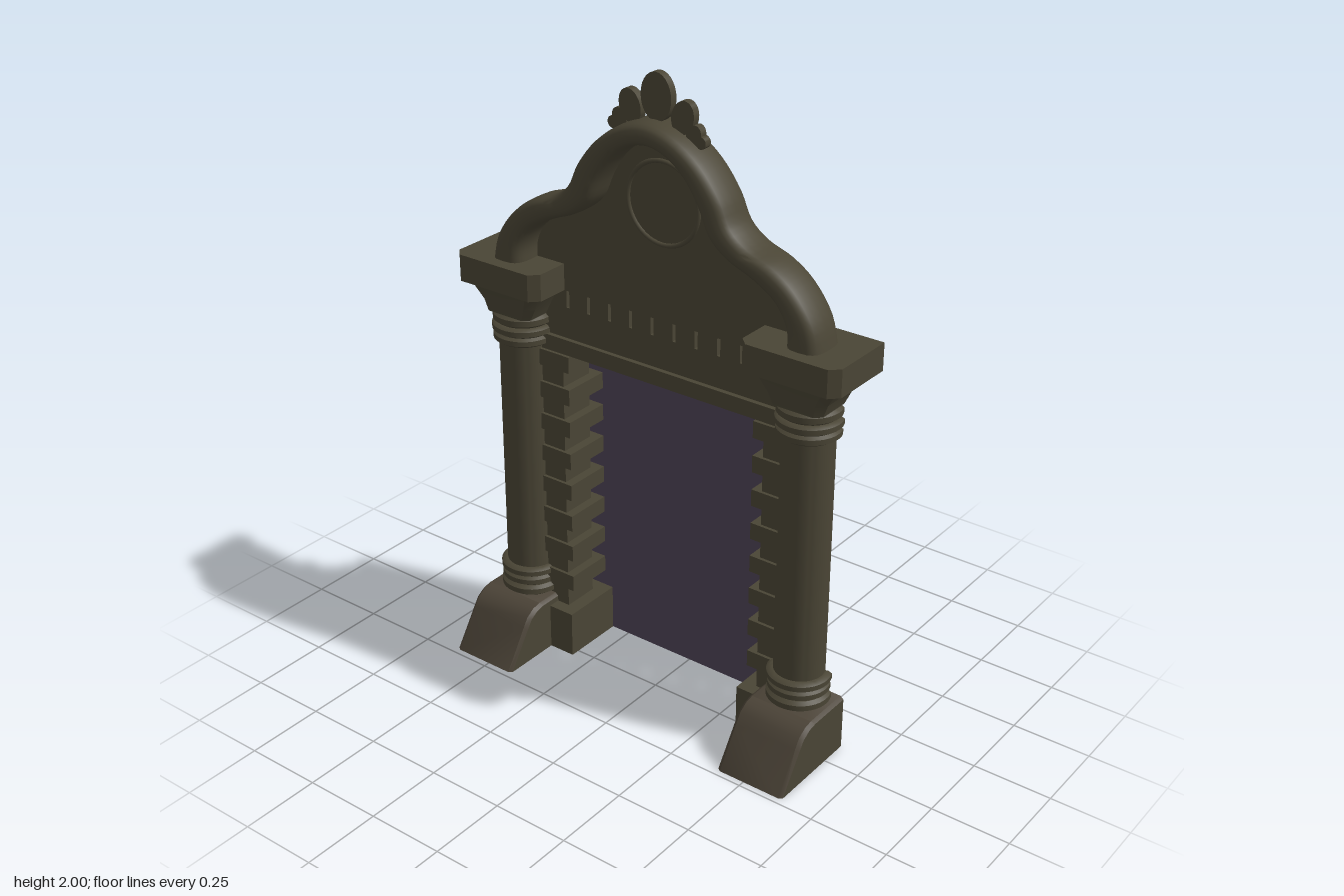
import * as THREE from 'three';
import { toCreasedNormals } from 'three/addons/utils/BufferGeometryUtils.js';

export function createModel() {
  const model = new THREE.Group();
  model.name = 'archedGateway';
  const material = (name, color, side) => {
    const m = new THREE.MeshStandardMaterial({ color, side });
    m.name = name;
    return m;
  };
  const stone = material('stone', 0x4a4535, THREE.DoubleSide);
  const warmStone = material('warmStone', 0x4b4337, THREE.DoubleSide);
  const violet = material('violetDoor', 0x4e4356, THREE.FrontSide);

  const add = (parent, name, geo, mat = stone) => {
    const m = new THREE.Mesh(geo, mat);
    m.name = name;
    parent.add(m);
    return m;
  };
  // Box given by its limits; faces lists which sides to keep (+x -x +y -y +z -z = 0..5)
  const block = (parent, name, x0, x1, y0, y1, z0, z1, faces = [0, 1, 2, 3, 4, 5], mat = stone) => {
    const geo = new THREE.BoxGeometry(x1 - x0, y1 - y0, z1 - z0);
    const index = Array.from(geo.index.array);
    geo.setIndex(faces.flatMap(f => index.slice(f * 6, f * 6 + 6)));
    geo.clearGroups();
    add(parent, name, geo, mat).position.set((x0 + x1) / 2, (y0 + y1) / 2, (z0 + z1) / 2);
  };
  // Surface through equal-length loops of [x, y, z]
  const loft = (loops, closed) => {
    const n = loops[0].length, idx = [];
    for (let i = 0; i < loops.length - 1; i++)
      for (let j = 0; j < (closed ? n : n - 1); j++) {
        const a = i * n + j, b = i * n + (j + 1) % n, c = a + n, d = b + n;
        idx.push(a, b, c, b, d, c);
      }
    const g = new THREE.BufferGeometry();
    g.setAttribute('position', new THREE.Float32BufferAttribute(loops.flat(2), 3));
    g.setIndex(idx);
    return toCreasedNormals(g, 0.7);
  };
  const MID = 0.008; // centre line of the arch and opening

  // Door panel
  block(model, 'doorPanel', -0.42, 0.42, 0, 1.07, -0.23, -0.18, undefined, violet);

  // Column, pedestal and capital, all open at the back
  function column(sign) {
    const g = new THREE.Group();
    g.name = sign > 0 ? 'leftColumn' : 'rightColumn';

    // Shaft with stacked rings at both ends
    const pts = [[0.09, 0.17]];
    const ring = (y, h, r) => [[r - 0.012, y], [r, y + h * 0.25], [r, y + h * 0.75], [r - 0.012, y + h]];
    pts.push(...ring(0.18, 0.035, 0.098), ...ring(0.215, 0.033, 0.095), ...ring(0.248, 0.032, 0.098));
    pts.push([0.078, 0.28], [0.078, 1.06], ...ring(1.06, 0.032, 0.095), ...ring(1.092, 0.032, 0.098),
      ...ring(1.124, 0.036, 0.095), [0.085, 1.17]);
    const shaft = new THREE.LatheGeometry(pts.map(p => new THREE.Vector2(...p)), 28, -1.97, 3.94);
    add(g, 'shaft', toCreasedNormals(shaft, 0.6)).position.set(0.52, 0, -0.02);

    // Hollow pedestal with a sloping front and bevelled edges
    const prof = [[0.23, 0], [0.15, 0.125], [0.13, 0.155], [0.1, 0.174], [0.07, 0.18], [-0.09, 0.18]];
    const inset = prof.map(([z, y], i) => [i < 5 ? z - 0.008 : z, y * 0.95]);
    const rows = [[0.405, inset], [0.416, prof], [0.624, prof], [0.635, inset]];
    add(g, 'pedestalFront', loft(rows.map(([x, p]) => p.map(([z, y]) => [x, y, z])), false), warmStone);
    const cheek = new THREE.Shape([...inset, [-0.09, 0]].map(([z, y]) => new THREE.Vector2(-z, y)));
    for (const x of [0.405, 0.635]) {
      const m = add(g, 'pedestalCheek', new THREE.ShapeGeometry(cheek));
      m.rotation.y = Math.PI / 2;
      m.position.x = x;
    }

    // Flared capital running out into a chamfered abacus
    const oct = (y, x0, x1, z0, z1, c) => [[x0, y, z0], [x0, y, z1 - c], [x0 + c, y, z1],
      [x1 - c, y, z1], [x1, y, z1 - c], [x1, y, z0]];
    const slab = y => oct(y, 0.36, 0.68, -0.128, 0.11, 0.028);
    add(g, 'capital', loft([oct(1.16, 0.435, 0.605, -0.06, 0.066, 0.02),
      oct(1.2, 0.415, 0.62, -0.075, 0.073, 0.025), oct(1.255, 0.385, 0.655, -0.1, 0.092, 0.03),
      slab(1.255), slab(1.34)], false));
    const top = add(g, 'abacusTop', new THREE.ShapeGeometry(
      new THREE.Shape(slab(0).map(p => new THREE.Vector2(p[0], -p[2])))));
    top.rotation.x = -Math.PI / 2;
    top.position.y = 1.34;
    g.scale.x = sign;
    model.add(g);
  }

  // Jamb with projecting quoins, open at the back and outer side
  function jamb(sign) {
    const g = new THREE.Group();
    g.name = sign > 0 ? 'leftJamb' : 'rightJamb';
    block(g, 'jambFoot', 0.323, 0.47, 0, 0.153, -0.18, 0.03, [1, 2, 4]);
    block(g, 'jambShaft', 0.368, 0.465, 0.153, 1.05, -0.132, -0.01, [1, 4]);
    for (let i = 0; i < 8; i++) {
      const y = 0.222 + i * 0.1105;
      block(g, 'quoin', 0.338, 0.465, y, y + 0.054, -0.162, 0, [1, 2, 3, 4]);
    }
    g.scale.x = sign;
    g.position.x = MID;
    model.add(g);
  }
  for (const s of [1, -1]) {
    column(s);
    jamb(s);
  }

  // Lintel and dentils, open at the back
  block(model, 'lintelFillet', -0.45, 0.45, 1.05, 1.1, -0.13, -0.01, [2, 3, 4]);
  block(model, 'lintelFrieze', -0.45, 0.45, 1.1, 1.2, -0.13, -0.025, [2, 4]);
  block(model, 'dentilBacking', -0.45, 0.45, 1.2, 1.257, -0.075, -0.07, [4, 5]);
  for (let i = -5; i <= 5; i++) {
    const x = MID + i * 0.079;
    block(model, 'dentil', x - 0.034, x + 0.034, 1.2, 1.257, -0.122, -0.025);
  }

  // Upper part: curved pediment and crest
  const pediment = new THREE.Group();
  pediment.name = 'pediment';
  pediment.position.x = MID;
  model.add(pediment);

  // Moulding, described by outer and inner outlines of one half
  const outer = [[0.585, 1.32], [0.559, 1.415], [0.493, 1.503], [0.422, 1.553], [0.342, 1.583],
    [0.288, 1.625], [0.25, 1.7], [0.18, 1.785], [0.09, 1.845], [0, 1.867]];
  const inner = [[0.468, 1.32], [0.466, 1.39], [0.432, 1.452], [0.357, 1.5], [0.265, 1.54],
    [0.208, 1.59], [0.17, 1.67], [0.12, 1.742], [0.058, 1.785], [0, 1.797]];
  const trace = half => {
    const all = [...half, ...half.slice(0, -1).reverse().map(([x, y]) => [-x, y])];
    const curve = new THREE.CatmullRomCurve3(all.map(([x, y]) => new THREE.Vector3(x, y, 0)));
    return curve.getPoints(72);
  };
  const out = trace(outer), inn = trace(inner);
  const sq = v => Math.sign(v) * Math.abs(v) ** 0.65;
  add(pediment, 'pedimentMoulding', loft(out.map((o, i) => {
    const q = inn[i];
    return Array.from({ length: 20 }, (_, k) => {
      const a = -k / 20 * Math.PI * 2, t = 0.5 + 0.5 * sq(Math.cos(a));
      return [q.x + (o.x - q.x) * t, q.y + (o.y - q.y) * t, 0.07 * sq(Math.sin(a))];
    });
  }), true));

  // Recessed panel, reaching into the moulding
  const edge = inn.map((q, i) => new THREE.Vector2(q.x + (out[i].x - q.x) * 0.3, q.y + (out[i].y - q.y) * 0.3));
  const panel = new THREE.Shape([new THREE.Vector2(0.48, 1.255), ...edge, new THREE.Vector2(-0.48, 1.255)]);
  add(pediment, 'pedimentPanel', new THREE.ExtrudeGeometry(panel, { depth: 0.02, bevelEnabled: false }))
    .position.z = -0.045;

  // Round medallion: rim in front, shallow disc behind
  const rim = add(pediment, 'medallionRim', new THREE.TorusGeometry(0.124, 0.007, 8, 48));
  rim.position.set(0, 1.614, -0.025);
  const disc = add(pediment, 'medallionBack', new THREE.CylinderGeometry(0.128, 0.128, 0.006, 48));
  disc.rotation.x = Math.PI / 2;
  disc.position.set(0, 1.614, -0.046);

  // Flat leaf crest: x, y, half width, half height, tilt
  const leaf = (x, y, w, h, tilt) => {
    const geo = new THREE.CylinderGeometry(1, 1, 0.024, 28);
    geo.rotateX(Math.PI / 2);
    geo.scale(w, h, 1);
    const m = add(pediment, 'crestLeaf', toCreasedNormals(geo, 0.6));
    m.position.set(x, y, -0.003);
    m.rotation.z = tilt;
  };
  leaf(0, 1.93, 0.052, 0.07, 0);
  for (const s of [1, -1]) {
    leaf(s * 0.09, 1.888, 0.037, 0.05, -s * 0.3);
    leaf(s * 0.127, 1.845, 0.024, 0.032, -s * 0.4);
    leaf(s * 0.15, 1.83, 0.018, 0.018, 0);
  }
  return model;
}
